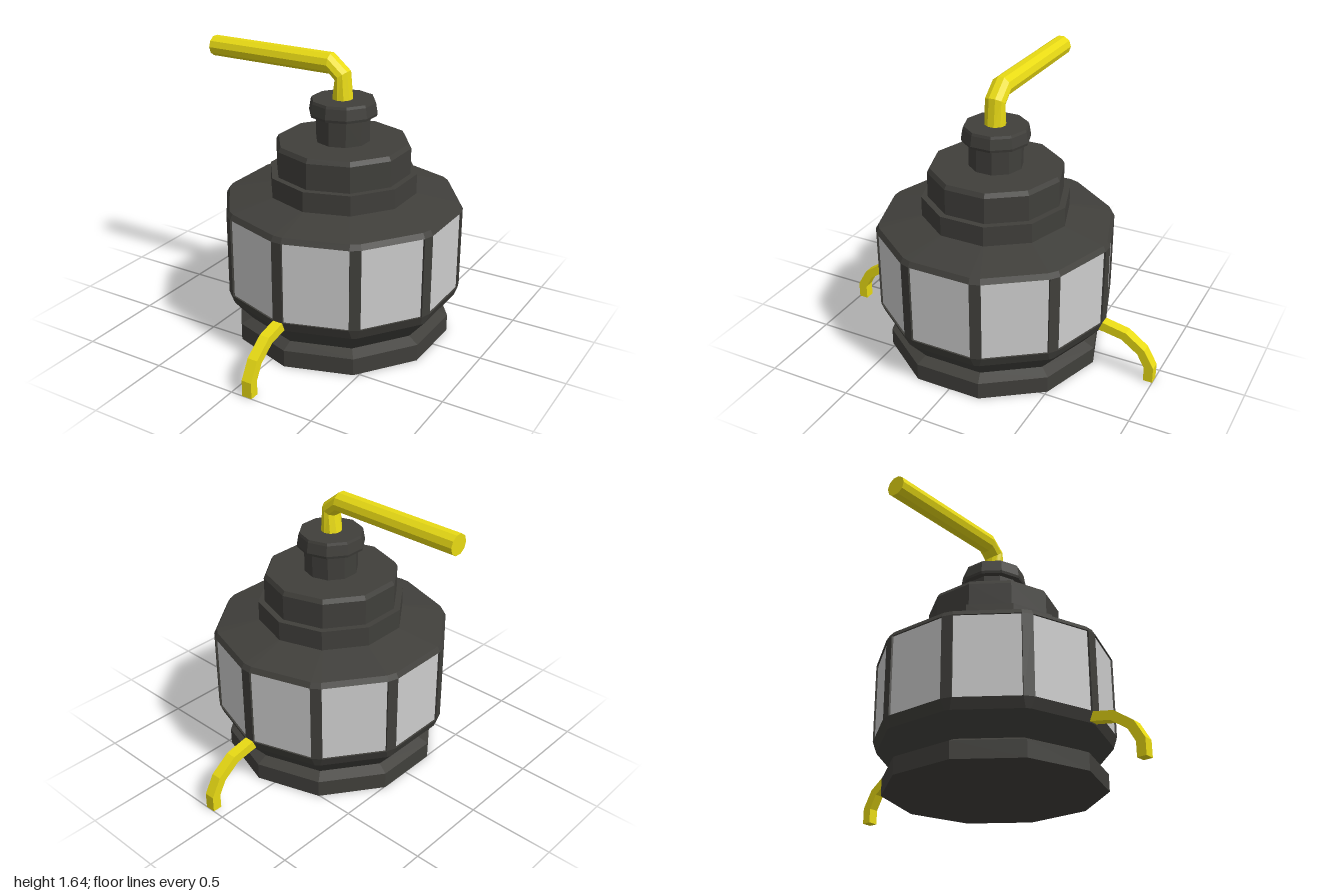
import * as THREE from 'three';

const SIDES = 10;
const STEP = (Math.PI * 2) / SIDES;
const material = (color) => new THREE.MeshStandardMaterial({ color, flatShading: true, side: THREE.DoubleSide });

// Skin between cross-sections that all have the same number of points
function loft(rings) {
  const n = rings[0].length;
  const index = [];
  for (let i = 0; i < rings.length - 1; i++) {
    for (let j = 0; j < n; j++) {
      const a = i * n + j, b = i * n + ((j + 1) % n);
      index.push(a, b, b + n, a, b + n, a + n);
    }
  }
  const geometry = new THREE.BufferGeometry().setFromPoints(rings.flat());
  geometry.setIndex(index);
  geometry.computeVertexNormals();
  return geometry;
}

// Ten-sided ring whose corners are cut off, bevel being half the cut's width
function bevelRing([radius, y, bevel]) {
  const points = [];
  const out = radius - bevel * Math.tan(STEP / 2);
  for (let k = 0; k < SIDES; k++) {
    const a = k * STEP;
    for (const s of [-bevel, bevel]) {
      points.push(new THREE.Vector3(
        out * Math.sin(a) + s * Math.cos(a), y, out * Math.cos(a) - s * Math.sin(a)));
    }
  }
  return points;
}

const lathe = (profile) =>
  new THREE.LatheGeometry(profile.map(([r, y]) => new THREE.Vector2(r, y)), SIDES);

export function createModel() {
  const model = new THREE.Group();
  const dark = material(0x403f3b);
  const yellow = material(0xe8da14);
  const grey = material(0xcccccc);

  const body = new THREE.Group();
  body.name = 'body';
  body.position.set(0.1, 0, 0.01);
  model.add(body);

  const add = (parent, name, geometry, mat) => {
    const mesh = new THREE.Mesh(geometry, mat);
    mesh.name = name;
    parent.add(mesh);
    return mesh;
  };

  // Foot plate
  add(body, 'base', lathe([[0, 0], [0.635, 0], [0.635, 0.1], [0.57, 0.13], [0, 0.13]]), dark);

  // Flared bowl below the panels and sloped shoulder above them
  add(body, 'lowerBowl', loft([
    [0.57, 0.13, 0.004], [0.675, 0.25, 0.015], [0.7, 0.31, 0.031], [0.6, 0.31, 0.02],
  ].map(bevelRing)), dark);
  add(body, 'shoulder', loft([
    [0.6, 0.78, 0.02], [0.7, 0.78, 0.031], [0.682, 0.81, 0.028], [0.42, 0.86, 0.004],
  ].map(bevelRing)), dark);

  // Grey side panels, slightly recessed between corner posts
  const panels = new THREE.CylinderGeometry(0.689, 0.689, 0.47, SIDES, 1, true);
  add(body, 'sidePanels', panels, grey).position.y = 0.545;
  const post = new THREE.BoxGeometry(0.062, 0.47, 0.05);
  post.translate(0, 0.545, 0.665);
  for (let k = 0; k < SIDES; k++) {
    add(body, 'cornerPost', post, dark).rotation.y = k * STEP;
  }

  // Stepped top, neck and cap
  add(body, 'steppedTop', lathe([
    [0.427, 0.85], [0.427, 0.975], [0.39, 0.975], [0.39, 1.125], [0.375, 1.15], [0, 1.15],
  ]), dark);
  add(body, 'neck', lathe([[0.155, 1.15], [0.155, 1.3]]), dark);
  add(body, 'cap', lathe([
    [0.155, 1.3], [0.192, 1.3], [0.196, 1.315], [0.186, 1.375], [0.18, 1.39], [0, 1.39],
  ]), dark);

  // Bent pipe: centre x, y, tilt of the section, in-plane radius, depth radius
  const pipe = [
    [0.1, 1.38, 0, 0.06, 0.062],
    [0.1, 1.52, 37, 0.05, 0.062],
    [0.03, 1.58, 90, 0.06, 0.062],
    [-0.77, 1.58, 90, 0.06, 0.062],
    [-0.77, 1.58, 90, 0, 0],
  ].map(([x, y, tilt, r, depth]) => {
    const t = THREE.MathUtils.degToRad(tilt);
    return Array.from({ length: SIDES }, (_, k) => {
      const a = (k + 0.5) * STEP + Math.PI / 10;
      const u = r * Math.sin(a);
      return new THREE.Vector3(x + u * Math.cos(t), y + u * Math.sin(t), 0.015 + depth * Math.cos(a));
    });
  });
  add(model, 'bentPipe', loft(pipe), yellow);

  // Curved strap legs, drawn outward along x then turned to front and back
  const legShape = new THREE.Shape([
    [0.64, 0.315], [0.69, 0.31], [0.825, 0.283], [0.94, 0.2], [1, 0.095], [1, 0],
    [0.945, 0], [0.945, 0.085], [0.9, 0.165], [0.8, 0.235], [0.69, 0.255], [0.64, 0.26],
  ].map(([x, y]) => new THREE.Vector2(x, y)));
  const leg = new THREE.ExtrudeGeometry(legShape, { depth: 0.06, bevelEnabled: false });
  leg.translate(0, 0, -0.03);
  for (const [name, side] of [['frontLeg', -1], ['backLeg', 1]]) {
    const mesh = add(model, name, leg, yellow);
    mesh.position.x = 0.1;
    mesh.rotation.y = side * Math.PI / 2;
  }

  return model;
}
